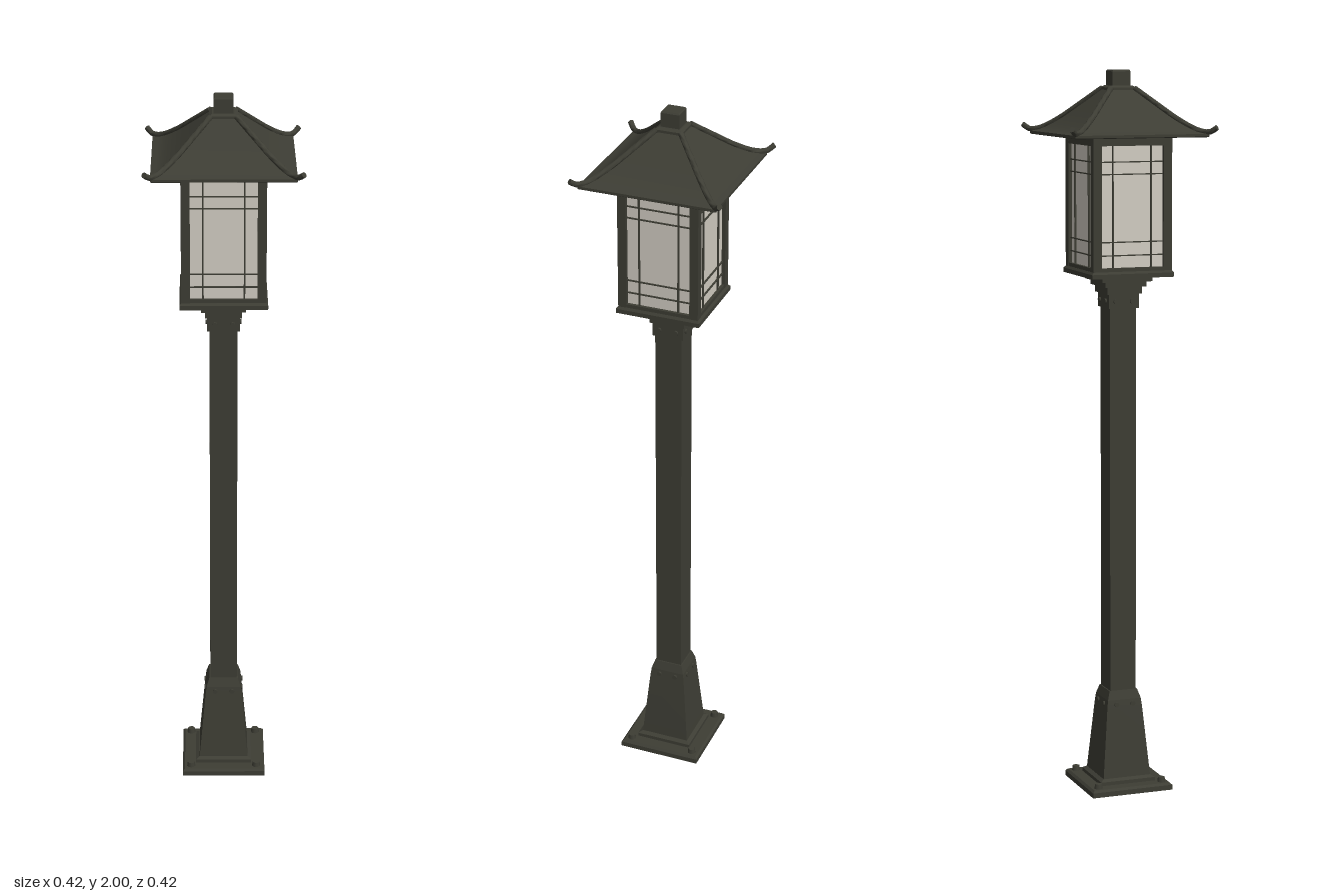
import * as THREE from 'three';
import { toCreasedNormals } from 'three/addons/utils/BufferGeometryUtils.js';

export function createModel() {
  const metal = new THREE.MeshStandardMaterial({ color: 0x3d3d34 });
  metal.name = 'bronze metal';
  const glass = new THREE.MeshStandardMaterial({ color: 0xd2cdc3 });
  glass.name = 'frosted glass';

  const model = new THREE.Group();
  model.name = 'lampPost';

  const add = (parent, name, geometry, material, x = 0, y = 0, z = 0) => {
    const mesh = new THREE.Mesh(geometry, material);
    mesh.name = name;
    mesh.position.set(x, y, z);
    parent.add(mesh);
    return mesh;
  };
  const box = (parent, name, w, h, d, x, y, z, material = metal) =>
    add(parent, name, new THREE.BoxGeometry(w, h, d), material, x, y, z);

  // Square solid from [half width, y] pairs, listed from bottom to top
  const squareLoft = (name, profile, crease = 0.1) => {
    const points = profile.map(([half, y]) => new THREE.Vector2(half * Math.SQRT2, y));
    points.unshift(new THREE.Vector2(0, profile[0][1]));
    points.push(new THREE.Vector2(0, profile[profile.length - 1][1]));
    const geometry = new THREE.LatheGeometry(points, 4, Math.PI / 4);
    return add(model, name, toCreasedNormals(geometry, crease), metal);
  };

  // Run a builder once for each of the four sides
  const fourSides = (name, build) => {
    for (let i = 0; i < 4; i++) {
      const side = new THREE.Group();
      side.name = name;
      side.rotation.y = i * Math.PI / 2;
      build(side);
      model.add(side);
    }
  };

  // Foot, shaft and stepped capital
  squareLoft('basePlate', [[0.118, 0], [0.118, 0.014], [0.112, 0.02]]);
  squareLoft('baseFlange', [[0.08, 0.02], [0.08, 0.03], [0.07, 0.036]]);
  squareLoft('taperedBase', [[0.07, 0.03], [0.052, 0.23], [0.049, 0.255], [0.041, 0.28]]);
  squareLoft('pole', [[0.038, 0.27], [0.038, 1.41]]);
  squareLoft('collar', [[0.044, 1.355], [0.044, 1.4]]);
  squareLoft('capital', [
    [0.05, 1.395], [0.05, 1.415], [0.06, 1.415], [0.06, 1.43], [0.072, 1.43], [0.072, 1.448],
  ]);

  // Lantern floor and ceiling
  squareLoft('lanternFloor', [[0.118, 1.445], [0.118, 1.457], [0.113, 1.463]]);
  squareLoft('lanternCeiling', [[0.113, 1.808], [0.113, 1.845]]);

  // Corner posts of the lantern
  for (const x of [-1, 1]) for (const z of [-1, 1]) {
    box(model, 'cornerPost', 0.024, 0.37, 0.024, x * 0.101, 1.637, z * 0.101);
    const bolt = new THREE.CylinderGeometry(0.01, 0.012, 0.014, 8);
    add(model, 'anchorBolt', bolt, metal, x * 0.094, 0.026, z * 0.094);
  }

  // Glass panes with rails, glazing bars and fixing screws
  fourSides('lanternSide', (side) => {
    box(side, 'pane', 0.18, 0.35, 0.006, 0, 1.635, 0.1, glass);
    box(side, 'bottomRail', 0.18, 0.012, 0.02, 0, 1.467, 0.102);
    box(side, 'topRail', 0.18, 0.012, 0.02, 0, 1.806, 0.102);
    for (const x of [-0.055, 0.055]) box(side, 'verticalBar', 0.004, 0.34, 0.005, x, 1.635, 0.105);
    for (const y of [1.506, 1.542, 1.724, 1.757]) {
      box(side, 'horizontalBar', 0.18, 0.003, 0.005, 0, y, 0.105);
    }
    for (const x of [-0.024, 0.024]) {
      for (const [y, z] of [[1.375, 0.045], [0.242, 0.051]]) {
        const screw = new THREE.CylinderGeometry(0.007, 0.007, 0.008, 8).rotateX(Math.PI / 2);
        add(side, 'screw', screw, metal, x, y, z);
      }
    }
  });

  // Swept roof with a thin eave, curving out from the finial
  const slope = new THREE.CatmullRomCurve3([
    [0.19, 1.832], [0.165, 1.84], [0.125, 1.867], [0.08, 1.907], [0.036, 1.948],
  ].map(([half, y]) => new THREE.Vector3(half, y, 0))).getPoints(14).map((p) => [p.x, p.y]);
  squareLoft('roof', [[0.11, 1.838], [0.187, 1.823], [0.19, 1.825], ...slope], 0.35);

  // Hip ridges ending in upturned tips
  const section = new THREE.Shape();
  section.absarc(0, 0, 0.0075, 0, Math.PI * 2);
  const ridgePath = new THREE.CatmullRomCurve3([
    [0.034, 1.951], [0.08, 1.909], [0.125, 1.869], [0.165, 1.842], [0.19, 1.837], [0.205, 1.849],
  ].map(([d, y]) => new THREE.Vector3(d, y, d)));
  fourSides('roofCorner', (side) => {
    const ridge = new THREE.ExtrudeGeometry(section, {
      steps: 24, curveSegments: 8, bevelEnabled: false, extrudePath: ridgePath,
    });
    add(side, 'hipRidge', toCreasedNormals(ridge, 0.9), metal);
  });

  // Finial
  squareLoft('finialCollar', [[0.038, 1.938], [0.038, 1.953], [0.03, 1.958]]);
  squareLoft('finial', [[0.026, 1.95], [0.026, 1.996], [0.023, 2]]);

  return model;
}
